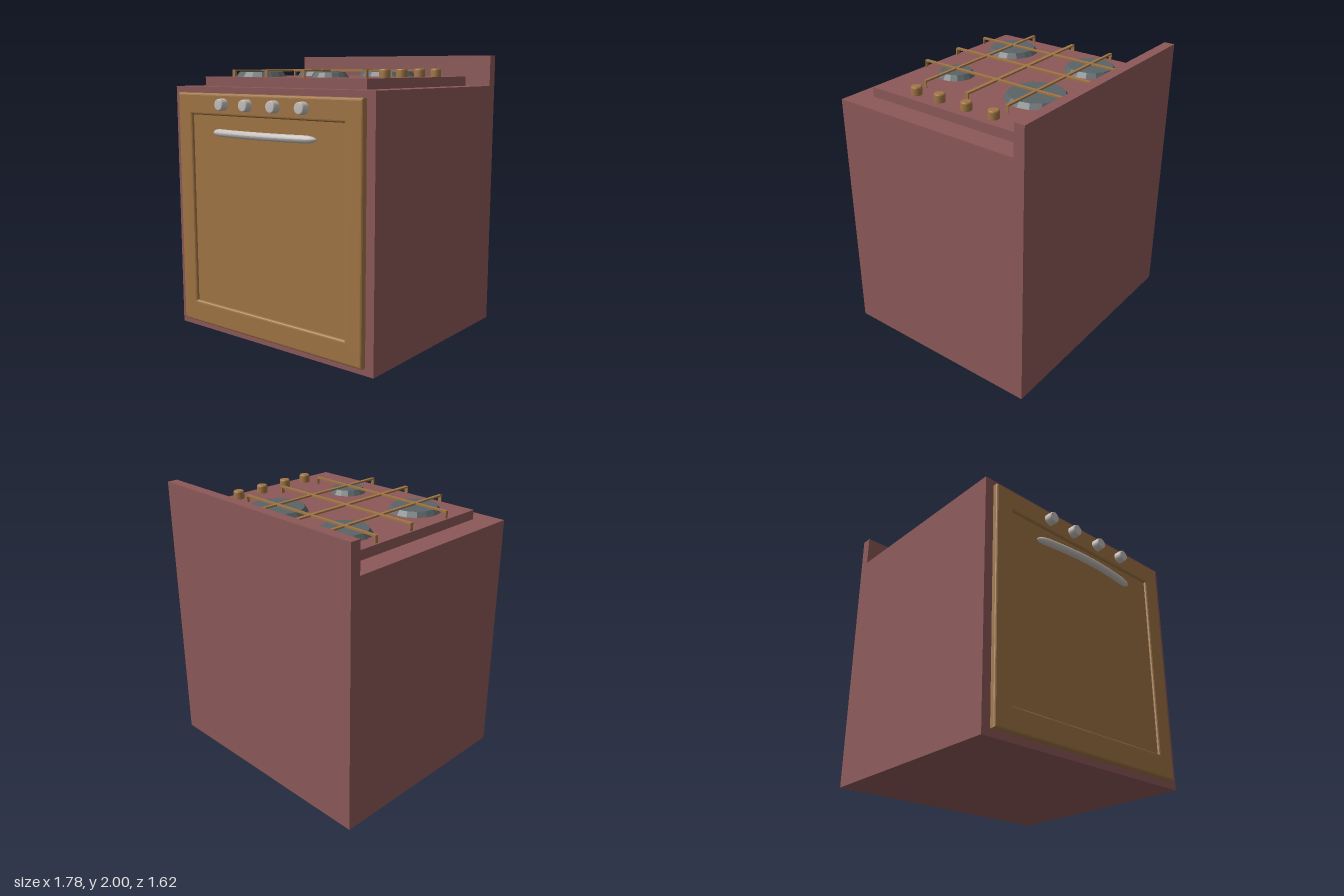
import * as THREE from 'three';

const mat = (name, color, extra = {}) => {
  const m = new THREE.MeshStandardMaterial({ color, ...extra });
  m.name = name;
  return m;
};

export function createModel() {
  const red = mat('enamel red', 0x8c5858);
  const brown = mat('warm brown', 0xa07544);
  const slate = mat('burner slate', 0x5a6366, { flatShading: true });
  const silver = mat('pale metal', 0xc6c0bc);
  const group = new THREE.Group();

  const add = (name, geometry, material, x = 0, y = 0, z = 0) => {
    const mesh = new THREE.Mesh(geometry, material);
    mesh.name = name;
    mesh.position.set(x, y, z);
    group.add(mesh);
    return mesh;
  };
  // Box given by its minimum and maximum corners
  const box = (name, material, a, b) => add(name,
    new THREE.BoxGeometry(b[0] - a[0], b[1] - a[1], b[2] - a[2]), material,
    (a[0] + b[0]) / 2, (a[1] + b[1]) / 2, (a[2] + b[2]) / 2);
  // Round knob with a softened top edge, standing on its base
  const knobGeometry = (r, h) => new THREE.LatheGeometry([
    [r, 0], [r, h - 0.012], [r * 0.93, h - 0.003], [r * 0.8, h], [0, h],
  ].map(([x, y]) => new THREE.Vector2(x, y)), 20);

  // Cabinet, splashback and raised hob
  box('cabinet', red, [-0.888, 0, -0.808], [0.888, 1.78, 0.702]);
  box('splashback', red, [-0.888, 1.78, -0.808], [0.888, 2, -0.733]);
  box('hob', red, [-0.725, 1.78, -0.67], [0.725, 1.847, 0.566]);

  // Door frame with bevelled edges around a sunken panel
  const rect = (T, x, y0, y1) => new T([[-x, y0], [x, y0], [x, y1], [-x, y1]]
    .map(([px, py]) => new THREE.Vector2(px, py)));
  const bevel = 0.016;
  const frame = rect(THREE.Shape, 0.823 - bevel, 0.05 + bevel, 1.737 - bevel);
  frame.holes.push(rect(THREE.Path, 0.7, 0.197, 1.6));
  add('doorFrame', new THREE.ExtrudeGeometry(frame, {
    depth: 0.029, bevelEnabled: true, bevelSize: bevel, bevelThickness: bevel, bevelSegments: 3,
  }), brown, 0, 0, 0.7);
  box('doorPanel', brown, [-0.695, 0.202, 0.69], [0.695, 1.595, 0.724]);

  // Front control knobs
  for (const x of [-0.352, -0.124, 0.124, 0.368]) {
    add('frontKnob', knobGeometry(0.041, 0.065), silver, x, 1.663, 0.737).rotation.x = Math.PI / 2;
  }

  // Bowed handle: a tapered bar bent along its length
  const half = 0.462;
  const profile = [];
  for (let i = 0; i <= 32; i++) {
    const t = -Math.cos((i / 32) * Math.PI);
    const taper = Math.min(1, (1 - Math.abs(t)) / 0.18);
    profile.push(new THREE.Vector2(0.026 * Math.sqrt(1 - (1 - taper) ** 2), t * half));
  }
  const handle = new THREE.LatheGeometry(profile, 16).rotateZ(-Math.PI / 2);
  const p = handle.attributes.position;
  for (let i = 0; i < p.count; i++) {
    p.setZ(i, p.getZ(i) + 0.042 * (1 - (p.getX(i) / half) ** 2));
  }
  handle.computeVertexNormals();
  add('handle', handle, silver, 0, 1.468, 0.739);

  // Burners
  for (const [x, z, r] of [[-0.438, -0.402, 0.183], [0.207, -0.402, 0.216],
    [-0.438, 0.28, 0.183], [0.207, 0.285, 0.133]]) {
    add('burner', new THREE.CylinderGeometry(r - 0.024, r, 0.035, 16), slate, x, 1.8645, z);
  }

  // Pan grate: crossing bars with a short foot at each end
  const yTop = 1.899, yBar = 1.887, yHob = 1.845, foot = 0.008;
  const xBars = [[-0.402, 0.011], [-0.076, 0.014], [0.283, 0.011]];
  const zBars = [[-0.438, 0.012], [-0.126, 0.014], [0.207, 0.012]];
  for (const [z, w] of xBars) {
    box('grateCrossBar', brown, [-0.711, yBar, z - w], [0.522, yTop, z + w]);
    for (const x of [-0.711, 0.522 - foot]) {
      box('grateFoot', brown, [x, yHob, z - w], [x + foot, yBar, z + w]);
    }
  }
  for (const [x, w] of zBars) {
    box('grateLongBar', brown, [x - w, yBar, -0.67], [x + w, yTop - 0.0005, 0.563]);
    for (const z of [-0.67, 0.563 - foot]) {
      box('grateFoot', brown, [x - w, yHob, z], [x + w, yBar, z + foot]);
    }
  }

  // Hob control knobs
  for (const z of [-0.39, -0.173, 0.049, 0.25]) {
    add('hobKnob', knobGeometry(0.038, 0.058), brown, 0.637, 1.847, z);
  }
  return group;
}
